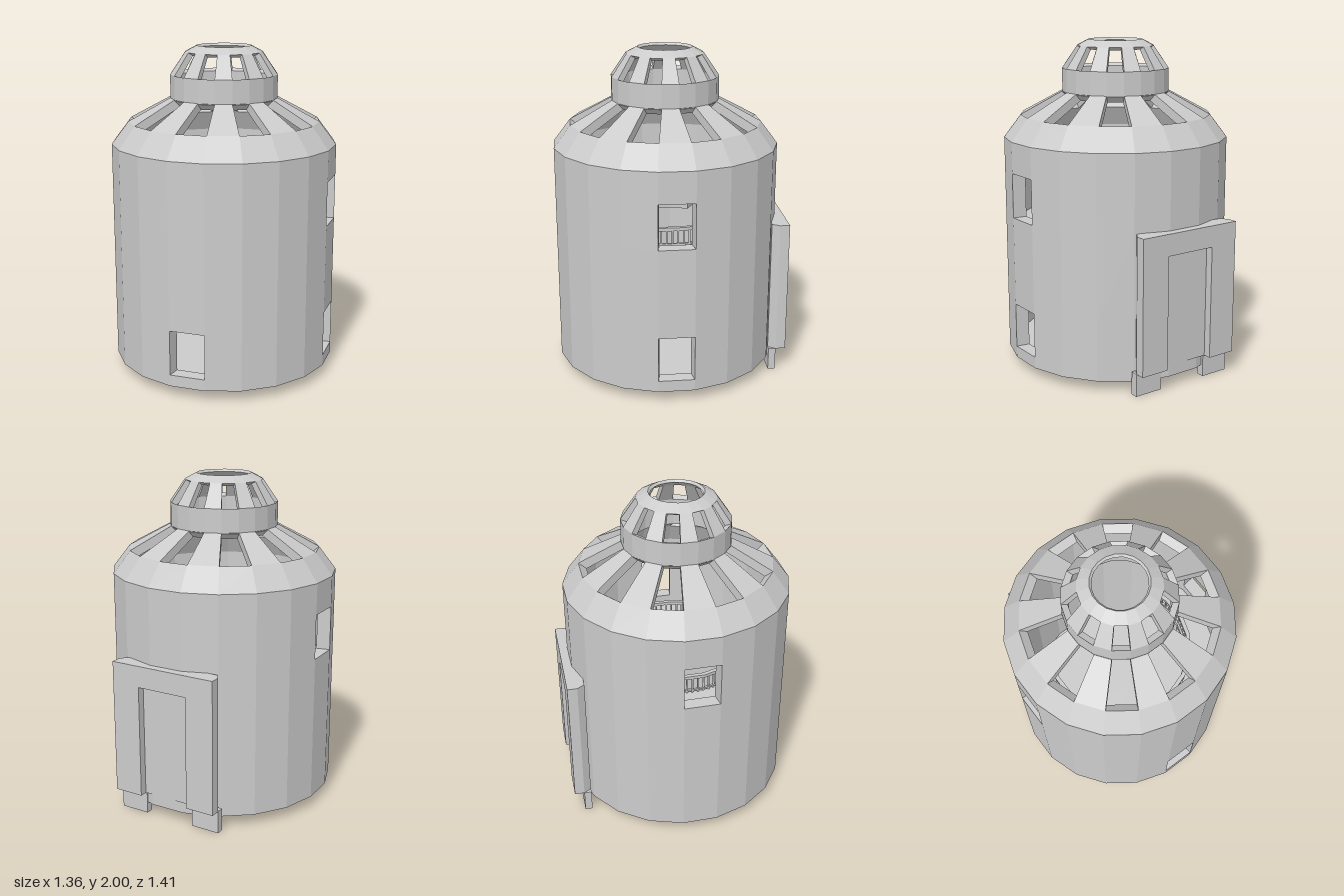
import * as THREE from 'three';

const SIDES = 20, TURN = 0.015, CZ = 0.025;
const mat = new THREE.MeshStandardMaterial({ color: 0xcccccc, flatShading: true, side: THREE.DoubleSide });

// Angle of facet edge i; facet 0 faces the front, 5 faces +x
const edge = (i) => (i - 0.5) * Math.PI * 2 / SIDES + TURN;
const at = (i, r, y) => [r * Math.sin(edge(i)), y, CZ + r * Math.cos(edge(i))];

function add(parent, name, geo, x = 0, y = 0, z = 0) {
  const m = new THREE.Mesh(geo, mat);
  m.name = name;
  m.position.set(x, y, z);
  parent.add(m);
  return m;
}

// Extrude a plan outline of [x, z] points downwards from `top` to `bottom`
function slab(points, bottom, top) {
  const shape = new THREE.Shape(points.map(([x, z]) => new THREE.Vector2(x, z)));
  const g = new THREE.ExtrudeGeometry(shape, { depth: top - bottom, bevelEnabled: false });
  return g.rotateX(Math.PI / 2).translate(0, top, 0);
}

// Arc-shaped band following the facet edges from index a to b
function band(a, b, rIn, rOut, bottom, top) {
  const outer = [], inner = [];
  for (let i = a; i <= b; i++) {
    const o = at(i, rOut, 0), n = at(i, rIn, 0);
    outer.push([o[0], o[2]]);
    inner.unshift([n[0], n[2]]);
  }
  return slab([...outer, ...inner], bottom, top);
}

// Thick faceted shell; isOpen(facet, row) leaves openings with reveals
function shell(rows, isOpen) {
  const pos = [];
  const quad = (a, b, c, d) => pos.push(...a, ...b, ...c, ...a, ...c, ...d);
  const last = rows.length - 1;
  for (let i = 0; i < SIDES; i++) {
    const o = (k, j) => at(k, rows[j][0], rows[j][1]);
    const n = (k, j) => at(k, rows[j][2], rows[j][3]);
    for (let j = 0; j < last; j++) {
      if (isOpen(i, j)) {
        quad(o(i, j), n(i, j), n(i, j + 1), o(i, j + 1));
        quad(n(i + 1, j), o(i + 1, j), o(i + 1, j + 1), n(i + 1, j + 1));
        quad(o(i, j), o(i + 1, j), n(i + 1, j), n(i, j));
        quad(n(i, j + 1), n(i + 1, j + 1), o(i + 1, j + 1), o(i, j + 1));
      } else {
        quad(o(i, j), o(i + 1, j), o(i + 1, j + 1), o(i, j + 1));
        quad(n(i + 1, j), n(i, j), n(i, j + 1), n(i + 1, j + 1));
      }
    }
    quad(o(i, last), o(i + 1, last), n(i + 1, last), n(i, last)); // top rim
    quad(n(i, 0), n(i + 1, 0), o(i + 1, 0), o(i, 0));
  }
  const g = new THREE.BufferGeometry();
  g.setAttribute('position', new THREE.Float32BufferAttribute(pos, 3));
  g.computeVertexNormals();
  return g;
}

export function createModel() {
  const model = new THREE.Group();
  model.name = 'domedTower';

  // Wall: outer radius, outer y, inner radius, inner y
  const wallRows = [0.07, 0.14, 0.415, 0.96, 1.23].map((y) => [0.685, y, 0.602, y]);
  wallRows.push([0.685, 1.418, 0.602, 1.39]);
  const windows = { 1: [0, 5], 3: [5, 15] };
  add(model, 'wall', shell(wallRows, (i, j) => (windows[j] || []).includes(i)));

  // Roof and lantern with every other facet open
  const roofRows = [
    [0.685, 1.418, 0.602, 1.39], [0.582, 1.553, 0.535, 1.515], [0.328, 1.69, 0.29, 1.65],
  ];
  add(model, 'slottedRoof', shell(roofRows, (i, j) => j === 1 && i % 2 === 0));
  const lanternRows = [
    [0.326, 1.685, 0.29, 1.65], [0.326, 1.83, 0.288, 1.815],
    [0.235, 1.963, 0.205, 1.945], [0.165, 2.0, 0.153, 1.985],
  ];
  add(model, 'slottedLantern', shell(lanternRows, (i, j) => j === 1 && i % 2 === 0));

  // Ground floor
  add(model, 'floor', new THREE.CylinderGeometry(0.684, 0.684, 0.05, SIDES, 1, false, edge(0)), 0, 0.096, CZ);

  // Inner gallery around the front half, with a balustrade
  const gallery = new THREE.Group();
  gallery.name = 'gallery';
  model.add(gallery);
  add(gallery, 'galleryFloor', band(-6, 7, 0.42, 0.605, 0.85, 0.89));
  add(gallery, 'handrail', band(-6, 7, 0.425, 0.45, 0.99, 1.01));
  add(gallery, 'lowerRail', band(-6, 7, 0.43, 0.445, 0.9, 0.91));
  for (let k = 0; k <= 52; k++) {
    const [x, , z] = at(-6 + k / 4, 0.434, 0);
    add(gallery, 'baluster', new THREE.BoxGeometry(0.01, 0.11, 0.01), x, 0.94, z);
  }

  // Door surround at the back
  const door = new THREE.Group();
  door.name = 'doorway';
  door.position.x = -0.015;
  model.add(door);
  for (const s of [-1, 1]) {
    const jamb = [[0.16, -0.705], [0.34, -0.705], [0.34, -0.645], [0.31, -0.6], [0.16, -0.6]];
    add(door, 'doorJamb', slab(jamb.map(([x, z]) => [s * x, z]), 0.14, 0.83));
    add(door, 'doorFoot', new THREE.BoxGeometry(0.18, 0.14, 0.045), s * 0.25, 0.07, -0.622);
  }
  const lintel = [[-0.34, -0.705], [0.34, -0.705], [0.34, -0.645], [0.31, -0.6], [-0.31, -0.6], [-0.34, -0.645]];
  add(door, 'doorLintel', slab(lintel, 0.83, 0.96));
  add(door, 'doorPanel', new THREE.BoxGeometry(0.32, 0.69, 0.04), 0, 0.485, -0.637);

  return model;
}
